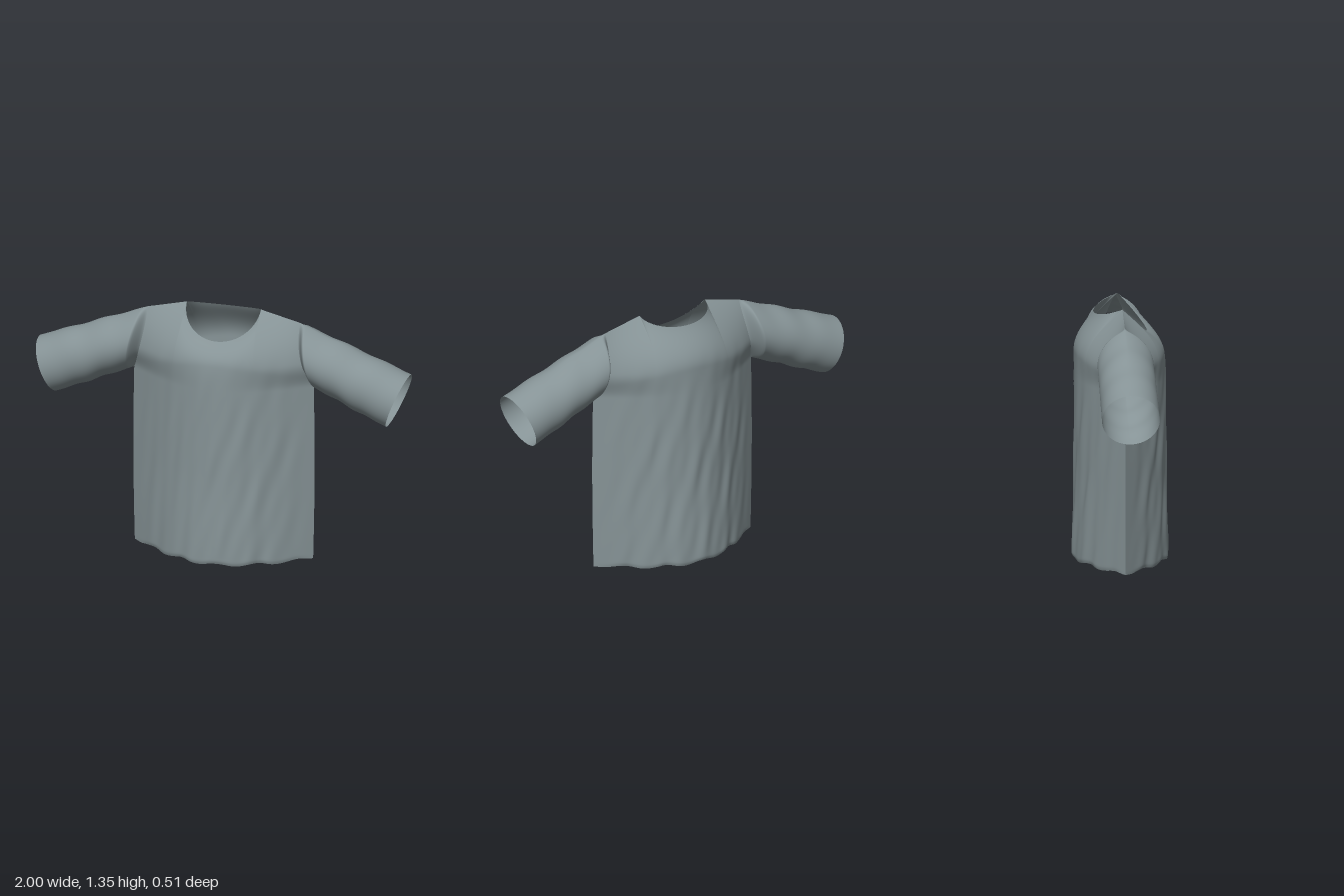
import * as THREE from 'three';

const { lerp, clamp, smoothstep } = THREE.MathUtils;
const material = new THREE.MeshStandardMaterial({ color: 0x869396, side: THREE.DoubleSide });

// Smooth sheet from a rule: point(i, j) -> [x, y, z]
function sheet(name, cols, rows, point, flip) {
  const pos = [], index = [];
  for (let j = 0; j <= rows; j++)
    for (let i = 0; i <= cols; i++) pos.push(...point(i / cols, j / rows));
  for (let j = 0; j < rows; j++)
    for (let i = 0; i < cols; i++) {
      const a = j * (cols + 1) + i, b = a + 1, c = b + cols + 1, d = c - 1;
      if (flip) index.push(a, c, b, a, d, c);
      else index.push(a, b, c, a, c, d);
    }
  const geo = new THREE.BufferGeometry();
  geo.setAttribute('position', new THREE.Float32BufferAttribute(pos, 3));
  geo.setIndex(index);
  geo.computeVertexNormals();
  const mesh = new THREE.Mesh(geo, material);
  mesh.name = name;
  return mesh;
}

const ARM_LOW = 0.96, ARM_TOP = 1.3, NECK = 0.2;
const armT = (y) => clamp((y - ARM_LOW) / (ARM_TOP - ARM_LOW), 0, 1);

// Half width of the body: side seam below, armhole curve above
function halfWidth(y) {
  if (y < ARM_LOW) return 0.482 + 0.008 * Math.sin((y / ARM_LOW) * 2.75);
  return 0.41 + 0.075 * (1 - armT(y)) ** 2;
}

// Lens-shaped bulge of the body, before the shoulders close it
function bulge(x, y) {
  const w = y < ARM_LOW ? halfWidth(y) : 0.485 + 0.055 * smoothstep(armT(y), 0, 0.4);
  const depth = 0.237 + 0.013 * (1 - smoothstep(y, 0, 0.5));
  return depth * Math.cos((Math.PI / 2) * Math.min(1, Math.abs(x) / w));
}

// Shoulder line, carried on as a soft arch across the neck
const shoulderY = (x) => (x < NECK ? 1.375 - 0.025 * (x / NECK) ** 2
  : lerp(1.35, ARM_TOP, (x - NECK) / (0.41 - NECK)));

// Closes the body toward the shoulder, d below the shoulder line
const close = (d) => Math.sin((Math.PI / 2) * clamp(d / 0.28, 0, 1));

// Front (side = 1) or back (side = -1) of the body
function bodyPanel(name, side) {
  const neckDrop = side > 0 ? 0.15 : 0.05;
  return sheet(name, 120, 120, (i, v) => {
    // columns gather toward the neck corners
    const c = i * 2 - 1, m = Math.abs(c);
    const inNeck = m < 0.5;
    const xTop = inNeck ? NECK * Math.sin(m * Math.PI) : lerp(NECK, 0.41, (m - 0.5) * 2);
    const n = inNeck ? Math.cos(m * Math.PI) : 0;
    const yShoulder = shoulderY(xTop);
    const yTop = inNeck ? 1.35 - neckDrop * n : yShoulder;
    const x = (Math.sign(c) * xTop * halfWidth(v * ARM_TOP)) / 0.41;
    let y = v * yTop;
    const full = bulge(x, y);
    let z = full * close(yShoulder - y);
    // ease into the oval neckline
    const zEdge = bulge(xTop, yTop) * close(yShoulder - yTop);
    z += (0.138 * n - zEdge) * Math.exp((y - yTop) / 0.06);
    // slanting folds, fading at the seams and the shoulders
    const fade = smoothstep(full, 0, 0.15) * (1 - smoothstep(y, 0.6, 1.25));
    const px = x * side;
    z += fade * (0.0035 * Math.sin(44 * px - 8 * y + 0.7 * Math.sin(5 * y))
      + 0.0025 * Math.sin(71 * px - 14 * y) * Math.sin(9 * y + 6 * px));
    // wavy hem, turned slightly inward
    const hem = 1 - smoothstep(y, 0, 0.1);
    z -= 0.006 * (1 - smoothstep(y, 0, 0.015)) * Math.min(1, full / 0.1);
    y += hem * (0.009 + 0.007 * Math.sin(32 * px + 0.6) * Math.min(1, full / 0.05));
    return [x, y, z * side];
  }, side < 0);
}

// Open tube from the pointed armhole to the round cuff
function sleeve(name, side) {
  return sheet(name, 64, 60, (i, j) => {
    const a = i * Math.PI * 2 - Math.PI, c = Math.cos(a), sn = Math.sin(a);
    const s = j * j * 0.5 + j * 0.5;
    const h = (1 + c) / 2;
    const k = smoothstep(s, 0, 0.06);
    const y0 = lerp(ARM_LOW, ARM_TOP, h);
    const z0 = bulge(halfWidth(y0), y0) * close(ARM_TOP - y0);
    const x0 = lerp(0.485, 0.41, h);
    const x = lerp(x0, lerp(0.89, 1, h), s) + (halfWidth(y0) - x0) * (1 - k);
    const y = lerp(y0, lerp(0.79, 1.07, h), s)
      + Math.sin(Math.PI * s) * 0.004 * Math.sin(17 * s + 1 + 0.9 * sn);
    const round = Math.abs(sn) ** lerp(1.4, 1, smoothstep(s, 0, 0.8));
    const z = lerp(z0, lerp(0.145, 0.15, s) * round, k);
    return [x * side, y, Math.sign(sn) * z];
  }, side < 0);
}

export function createModel() {
  const shirt = new THREE.Group();
  shirt.name = 'shirt';
  shirt.add(
    bodyPanel('bodyFront', 1),
    bodyPanel('bodyBack', -1),
    sleeve('leftSleeve', 1),
    sleeve('rightSleeve', -1),
  );
  return shirt;
}
